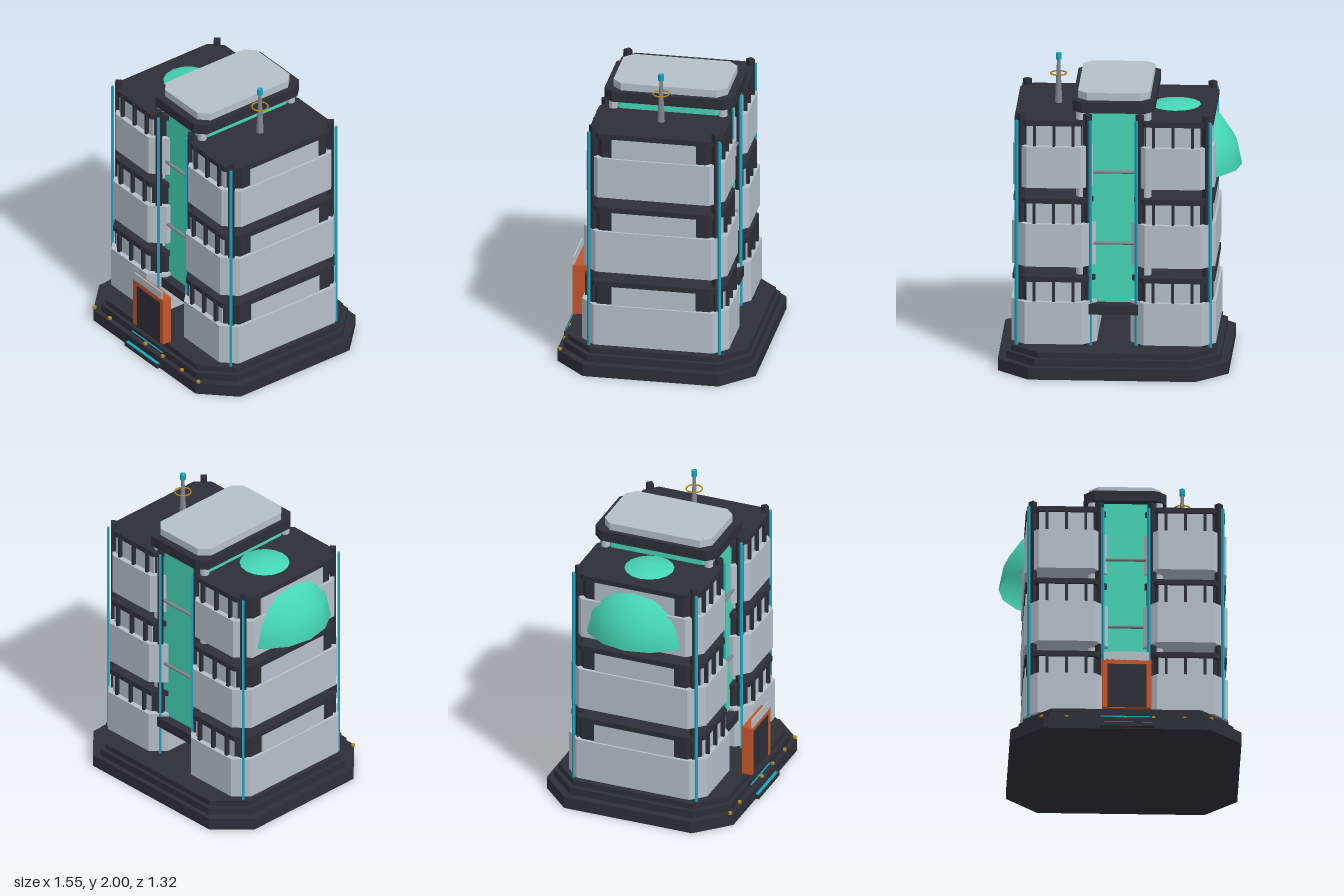
import * as THREE from 'three';

const mat = (name, color) => {
  const m = new THREE.MeshStandardMaterial({ color });
  m.name = name;
  return m;
};

export function createModel() {
  const dark = mat('charcoal', 0x2e2e37);
  const light = mat('paleGrey', 0xb5bfc9);
  const teal = mat('tealGlass', 0x45d6b6);
  const cyan = mat('cyanGlow', 0x18a6c0);
  const orange = mat('orange', 0xc4562a);
  const gold = mat('gold', 0xb58c1c);
  const metal = mat('metalGrey', 0x83878e);

  const model = new THREE.Group();
  model.name = 'building';
  const CX = 0.03, CZ = -0.015;

  const add = (name, geo, material, x = 0, y = 0, z = 0, parent = model) => {
    const m = new THREE.Mesh(geo, material);
    m.name = name;
    m.position.set(x, y, z);
    parent.add(m);
    return m;
  };
  // Box given by its extents
  const box = (name, material, x0, x1, y0, y1, z0, z1, parent) =>
    add(name, new THREE.BoxGeometry(x1 - x0, y1 - y0, z1 - z0), material,
      (x0 + x1) / 2, (y0 + y1) / 2, (z0 + z1) / 2, parent);
  // Upright prism on a rectangle with cut corners
  const prism = (name, material, x, z, hx, hz, cut, y0, y1, parent) => {
    const s = new THREE.Shape([
      [hx, hz - cut], [hx - cut, hz], [cut - hx, hz], [-hx, hz - cut],
      [-hx, cut - hz], [cut - hx, -hz], [hx - cut, -hz], [hx, cut - hz],
    ].map(p => new THREE.Vector2(...p)));
    const g = new THREE.ExtrudeGeometry(s, { depth: y1 - y0, bevelEnabled: false });
    g.rotateX(-Math.PI / 2);
    return add(name, g, material, x, y0, z, parent);
  };

  // Stepped plinth
  prism('plinthLower', dark, CX, CZ, 0.742, 0.648, 0.205, 0, 0.08);
  prism('plinthMiddle', dark, CX, CZ, 0.69, 0.615, 0.19, 0.08, 0.128);
  prism('plinthTop', dark, CX, CZ, 0.66, 0.59, 0.18, 0.128, 0.165);
  box('entranceStep', dark, -0.143, 0.2, 0.008, 0.035, 0.6, 0.66);
  box('stepLightLower', cyan, -0.135, 0.19, 0.035, 0.04, 0.635, 0.655);
  box('stepLightUpper', cyan, -0.14, 0.18, 0.096, 0.104, 0.6, 0.607);
  for (const x of [-0.517, -0.357, 0.017, 0.2, 0.4, 0.574])
    add('plinthLamp', new THREE.CylinderGeometry(0.013, 0.013, 0.014, 8), gold, x, 0.088, 0.615);

  // Two wings, each a stack of three separate storeys
  const storeys = [
    { y: 0.19, top: 0.47, hx: 0.275, hz: 0.48, roof: 0.635 },
    { y: 0.703, top: 0.987, hx: 0.27, hz: 0.468, roof: 1.155 },
    { y: 1.225, top: 1.5, hx: 0.265, hz: 0.453, roof: 1.67 },
  ];
  for (const side of [-1, 1]) {
    const wing = new THREE.Group();
    wing.name = side < 0 ? 'rightWing' : 'leftWing';
    model.add(wing);
    const wx = CX + side * 0.383;
    for (const { y, top, hx, hz, roof } of storeys) {
      const slab = roof - 0.035;
      prism('storeyBand', light, wx, CZ, hx, hz, 0.09, y, top, wing);
      prism('storeyCore', dark, wx, CZ, hx - 0.022, hz - 0.04, 0.075, top, slab, wing);
      prism('storeySlab', dark, wx, CZ, hx - 0.008, hz - 0.018, 0.08, slab, roof, wing);
      // Pale window panels with mullions, front and back
      for (const f of [-1, 1]) {
        add('windowPanel', new THREE.BoxGeometry(0.35, slab - top, 0.008), light,
          wx, (top + slab) / 2, CZ + f * (hz - 0.037), wing);
        for (const dx of [-0.125, 0, 0.125])
          add('mullion', new THREE.BoxGeometry(0.018, roof - top - 0.01, 0.025), dark,
            wx + dx, (top + roof - 0.01) / 2, CZ + f * (hz - 0.022), wing);
      }
      // Window panel on the outer end
      add('endPanel', new THREE.BoxGeometry(0.009, slab - top, 0.55), light,
        wx + side * (hx - 0.018), (top + slab) / 2, CZ, wing);
    }
    // Corner and inner pillars with glowing strips
    for (const f of [-1, 1]) {
      for (const [dx, dirX] of [[0.597, 1], [0.168, -1]]) {
        const px = CX + side * dx, pz = CZ + f * 0.4;
        const p = add('pillar', new THREE.BoxGeometry(0.04, 1.55, 0.04), dark, px, 0.935, pz, wing);
        p.rotation.y = Math.PI / 4;
        const outer = dirX > 0;
        // Outer strips sit proud of the cut corners of the bands
        const off = outer ? 0.026 : 0.02;
        const strip = add('pillarStrip', new THREE.BoxGeometry(0.016, 1.5, 0.016), cyan,
          px + side * dirX * off, 0.92, pz + f * off, wing);
        strip.rotation.y = Math.PI / 4;
      }
    }
  }

  // Central glass tower with pale corner posts
  const TZ = -0.03;
  prism('towerFoot', dark, CX, TZ, 0.262, 0.425, 0.06, 0.38, 0.45);
  prism('towerGlass', teal, CX, TZ, 0.222, 0.365, 0.05, 0.45, 1.73);
  for (const sx of [-1, 1]) for (const sz of [-1, 1])
    add('towerPost', new THREE.CylinderGeometry(0.03, 0.03, 1.28, 8), light,
      CX + sx * 0.212, 1.09, TZ + sz * 0.358);
  prism('towerCap', dark, CX, TZ - 0.008, 0.265, 0.425, 0.06, 1.73, 1.8);
  prism('towerRoof', light, CX, TZ - 0.008, 0.232, 0.373, 0.06, 1.8, 1.85);
  for (const y of [0.85, 1.325]) for (const f of [-1, 1]) {
    const bar = add('glassBar', new THREE.CylinderGeometry(0.011, 0.011, 0.26, 8), metal,
      CX, y, TZ + f * 0.385);
    bar.rotation.z = Math.PI / 2;
  }

  // Entrance portal
  box('portalFrame', orange, -0.127, 0.187, 0.165, 0.505, 0.537, 0.595);
  box('portalJambRight', orange, -0.127, -0.095, 0.165, 0.505, 0.595, 0.604);
  box('portalJambLeft', orange, 0.155, 0.187, 0.165, 0.505, 0.595, 0.604);
  box('portalLintel', orange, -0.095, 0.155, 0.473, 0.505, 0.595, 0.604);
  box('portalDoor', dark, -0.095, 0.155, 0.17, 0.473, 0.594, 0.6);
  box('portalHeader', light, -0.115, 0.173, 0.5, 0.56, 0.595, 0.604);

  // Dome pushing through the outer wall and roof of the right wing
  const dome = new THREE.SphereGeometry(0.425, 16, 4, 0, Math.PI * 2, 0, Math.PI / 2);
  const domeMat = teal.clone();
  domeMat.name = 'tealDome';
  domeMat.side = THREE.DoubleSide;
  add('dome', dome, domeMat, -0.35, 1.277, CZ);
  // Splayed struts under the dome
  for (const sx of [-1, 1]) for (const sz of [-1, 1]) {
    const strut = add('domeStrut', new THREE.CylinderGeometry(0.022, 0.008, 0.13, 6), dark,
      -0.365 + sx * 0.06, 1.2, CZ + sz * 0.06);
    strut.rotation.set(-sz * 0.4, 0, sx * 0.4);
  }

  // Roof mast
  const mx = 0.405;
  add('mast', new THREE.CylinderGeometry(0.01, 0.024, 0.29, 8), metal, mx, 1.815, CZ);
  add('mastTip', new THREE.CylinderGeometry(0.019, 0.019, 0.042, 10), cyan, mx, 1.979, CZ);
  const ring = add('mastRing', new THREE.TorusGeometry(0.052, 0.005, 6, 20), gold, mx, 1.865, CZ);
  ring.rotation.x = Math.PI / 2;

  return model;
}
